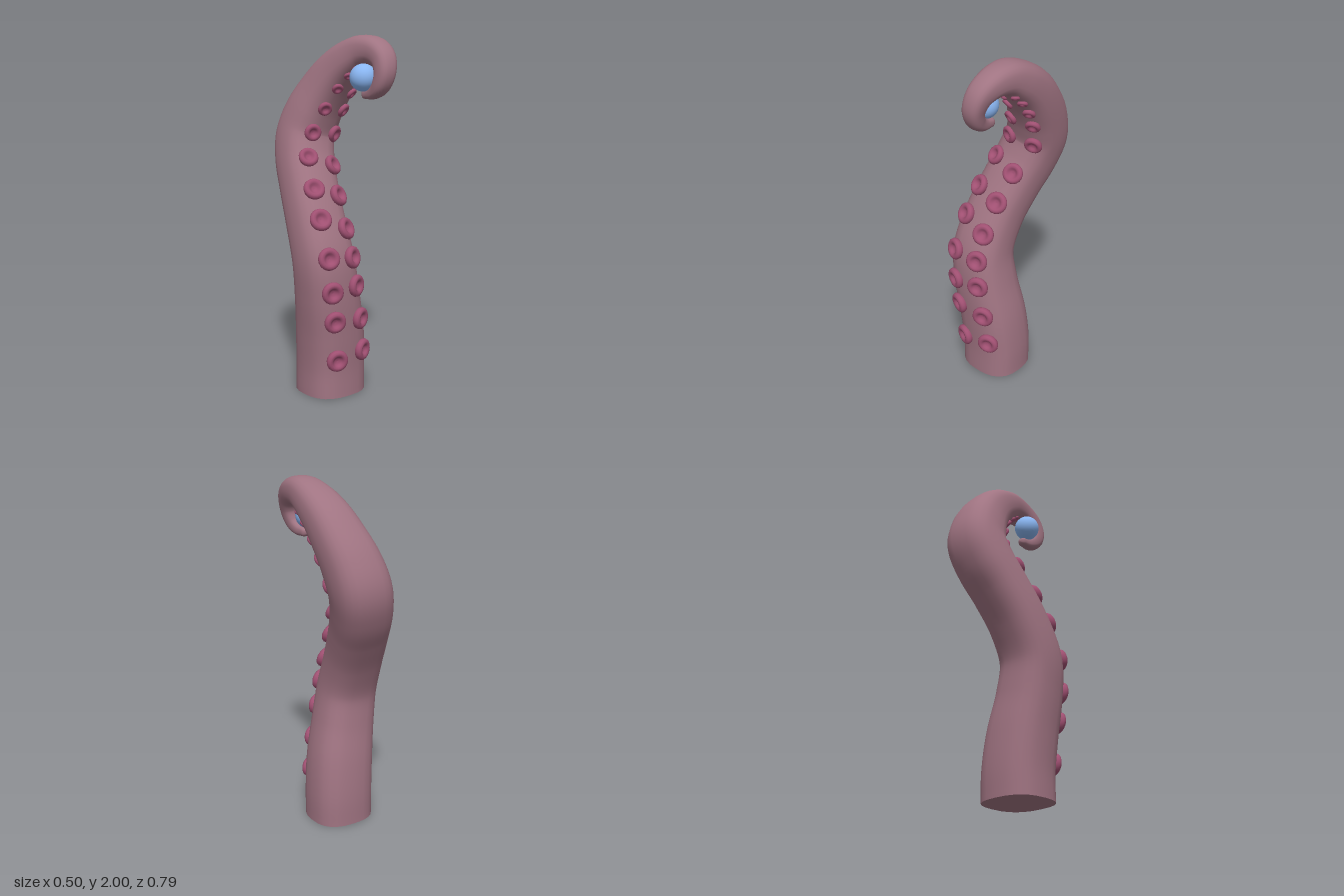
import * as THREE from 'three';

// Centre line and thickness: x, y, z, radius
const KEYS = [
  [-0.006, 0, 0.045, 0.175], [-0.006, 0.16, 0.045, 0.175], [-0.022, 0.36, 0.059, 0.173],
  [-0.057, 0.58, 0.078, 0.163], [-0.08, 0.78, 0.072, 0.155], [-0.068, 0.985, -0.013, 0.149],
  [-0.032, 1.17, -0.12, 0.149], [0.005, 1.31, -0.202, 0.152], [0.04, 1.44, -0.24, 0.152],
  [0.07, 1.57, -0.205, 0.145], [0.1, 1.69, -0.138, 0.132], [0.122, 1.79, -0.058, 0.119],
  [0.138, 1.867, 0.04, 0.104], [0.147, 1.913, 0.14, 0.087], [0.147, 1.911, 0.24, 0.073],
  [0.135, 1.868, 0.314, 0.062], [0.12, 1.797, 0.341, 0.053], [0.111, 1.729, 0.319, 0.045],
  [0.108, 1.693, 0.268, 0.034], [0.106, 1.684, 0.212, 0.025],
];
const WIDEN = 1.07;   // cross-section is a little wider than deep
const SQUARE = 0.78;  // below 1 makes the cross-section boxier
const path = new THREE.CatmullRomCurve3(KEYS.map(([x, y, z]) => new THREE.Vector3(x, y, z)));
const thickness = new THREE.SplineCurve(KEYS.map((k, i) => new THREE.Vector2(i, k[3])));
const X = new THREE.Vector3(1, 0, 0);

// Frame on the path: n points to the inner (sucker) side, b to the model's left
function frameAt(t) {
  const T = t < 0.01 ? new THREE.Vector3(0, 1, 0) : path.getTangent(t);
  const n = new THREE.Vector3().crossVectors(X, T).normalize();
  const b = new THREE.Vector3().crossVectors(T, n);
  return { p: path.getPoint(t), T, n, b, r: thickness.getPoint(t).y };
}

// Rounded-square section: [sideways, inward] for a unit radius
const power = (v, e) => Math.sign(v) * Math.abs(v) ** e;
const section = a => [WIDEN * power(Math.sin(a), SQUARE), power(Math.cos(a), SQUARE)];

function surfacePoint(f, a, r) {
  const [side, inward] = section(a);
  return f.p.clone().addScaledVector(f.b, side * r).addScaledVector(f.n, inward * r);
}

// Tapered skin with a rounded tip
const SIDES = 24;
function skinGeometry(rings = 120, capRings = 6) {
  const pos = [], index = [];
  const total = rings + capRings;
  for (let i = 0; i <= total; i++) {
    const f = frameAt(Math.min(i / rings, 1));
    const cap = Math.max(0, i - rings) / capRings * Math.PI / 2;
    f.p.addScaledVector(f.T, f.r * Math.sin(cap));
    const r = Math.max(f.r * Math.cos(cap), 0.0005);
    for (let j = 0; j < SIDES; j++) {
      pos.push(...surfacePoint(f, j / SIDES * Math.PI * 2, r).toArray());
      if (i < total) {
        const a = i * SIDES + j, b = i * SIDES + (j + 1) % SIDES;
        index.push(a, b, a + SIDES, b, b + SIDES, a + SIDES);
      }
    }
  }
  const g = new THREE.BufferGeometry();
  g.setAttribute('position', new THREE.Float32BufferAttribute(pos, 3));
  g.setIndex(index);
  g.computeVertexNormals();
  return g;
}

// Spot on the inner surface whose height is closest to y, with its outward direction
function spotAtHeight(y, angle) {
  let best = null, gap = Infinity;
  for (let i = 0; i <= 600; i++) {
    const f = frameAt(i / 600 * 0.72);
    const point = surfacePoint(f, angle, f.r);
    if (Math.abs(point.y - y) < gap) {
      gap = Math.abs(point.y - y);
      const dir = f.n.multiplyScalar(power(Math.cos(angle), 2 - SQUARE))
        .addScaledVector(f.b, power(Math.sin(angle), 2 - SQUARE) / WIDEN).normalize();
      best = { point, dir };
    }
  }
  return best;
}

export function createModel() {
  const model = new THREE.Group();
  model.name = 'tentacle';
  const skin = new THREE.MeshStandardMaterial({ color: 0xa07482 });
  const suckerMat = new THREE.MeshStandardMaterial({ color: 0xa05072 });

  const arm = new THREE.Mesh(skinGeometry(), skin);
  arm.name = 'arm';
  model.add(arm);

  // Flat underside
  const outline = Array.from({ length: SIDES }, (_, j) =>
    new THREE.Vector2(...section(j / SIDES * Math.PI * 2)).multiplyScalar(KEYS[0][3]));
  const base = new THREE.Mesh(new THREE.ShapeGeometry(new THREE.Shape(outline)), skin);
  base.name = 'base';
  base.rotation.x = Math.PI / 2;
  base.position.set(KEYS[0][0], 0, KEYS[0][2]);
  model.add(base);

  // Dimpled suckers in two rows, shrinking towards the tip
  const profile = [[0.75, -0.4], [0.93, -0.1], [1, 0.15], [0.95, 0.36], [0.8, 0.5], [0.62, 0.51],
    [0.46, 0.4], [0.36, 0.25], [0.2, 0.16], [0, 0.13]].map(([x, y]) => new THREE.Vector2(x, y));
  const suckerGeo = new THREE.LatheGeometry(profile, 20);
  const rows = [
    ['rightSucker', -0.38, [0.225, 0.455, 0.625, 0.81, 1.01, 1.165, 1.33, 1.465, 1.6, 1.71, 1.78, 1.82]],
    ['leftSucker', 0.43, [0.255, 0.445, 0.64, 0.8, 0.95, 1.12, 1.28, 1.45, 1.585, 1.68, 1.76, 1.81]],
  ];
  for (const [name, angle, heights] of rows) {
    for (const y of heights) {
      const { point, dir } = spotAtHeight(y, angle);
      const size = 0.063 - 0.06 * Math.max(0, y - 1) ** 2;
      const sucker = new THREE.Mesh(suckerGeo, suckerMat);
      sucker.name = name;
      sucker.position.copy(point);
      sucker.quaternion.setFromUnitVectors(new THREE.Vector3(0, 1, 0), dir);
      sucker.scale.set(size, size * 0.9, size);
      model.add(sucker);
    }
  }

  // Ball held in the curl
  const ball = new THREE.Mesh(new THREE.SphereGeometry(0.074, 32, 20),
    new THREE.MeshStandardMaterial({ color: 0x8ab6f2 }));
  ball.name = 'ball';
  ball.position.set(0.077, 1.774, 0.219);
  model.add(ball);
  return model;
}
